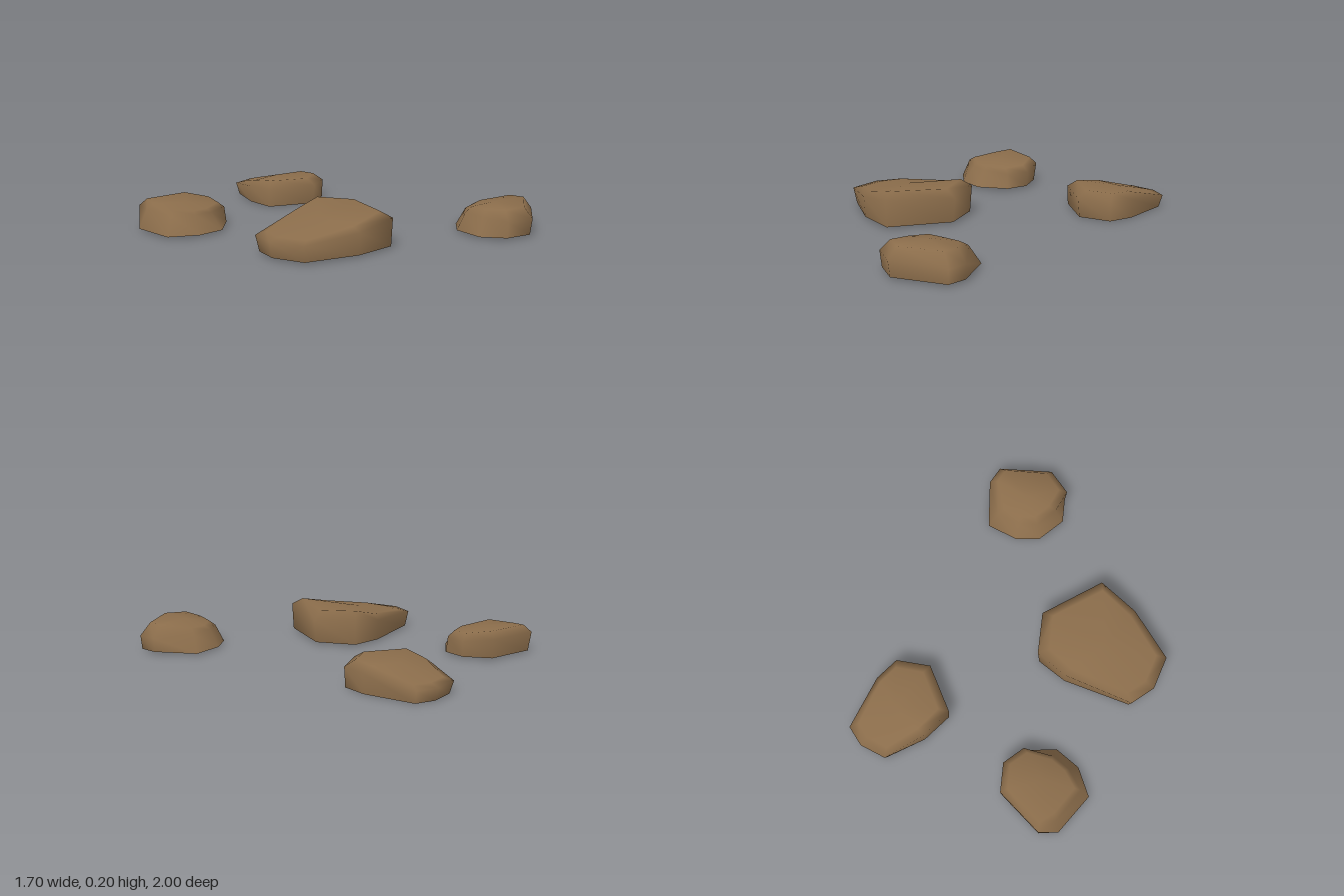
import * as THREE from 'three';

// Points run round each stone: [x, z, lean, rimY, topY].
// Positive lean tucks the foot in, negative lean tucks the rim in.
const slab = [
  [-0.74, 0.32, 0.06, 0.10, 0.11], [-0.70, 0.17, 0.06, 0.10, 0.115],
  [-0.31, 0.04, 0.03, 0.13, 0.16], [-0.12, 0.035, 0.03, 0.165, 0.20],
  [0.02, 0.24, 0.05, 0.15, 0.195], [-0.12, 0.605, 0.02, 0.165, 0.20],
  [-0.37, 0.605, 0.02, 0.13, 0.155], [-0.68, 0.51, 0.06, 0.10, 0.115],
];
const block = [
  [-0.85, -0.64, -0.17, 0.12, 0.15], [-0.78, -0.73, 0.06, 0.12, 0.16],
  [-0.48, -0.70, 0.06, 0.12, 0.16], [-0.38, -0.56, 0.05, 0.10, 0.14],
  [-0.40, -0.42, -0.05, 0.10, 0.13], [-0.54, -0.29, -0.30, 0.105, 0.125],
  [-0.70, -0.29, -0.30, 0.11, 0.125], [-0.85, -0.38, -0.20, 0.12, 0.14],
];
const wedge = [
  [0.14, -0.965, 0.08, 0.07, 0.085], [0.29, -1.0, 0.08, 0.07, 0.085],
  [0.41, -0.965, 0.08, 0.07, 0.085], [0.48, -0.66, 0.02, 0.11, 0.145],
  [0.47, -0.51, 0.02, 0.11, 0.15], [0.30, -0.41, 0.05, 0.115, 0.15],
  [0.04, -0.54, 0.02, 0.11, 0.15], [0.055, -0.73, 0.02, 0.10, 0.13],
];
const pebble = [
  [0.35, 0.82, -0.22, 0.11, 0.145], [0.38, 0.64, -0.22, 0.11, 0.14],
  [0.49, 0.545, -0.25, 0.11, 0.13], [0.67, 0.505, -0.25, 0.11, 0.135],
  [0.83, 0.70, 0.03, 0.09, 0.16], [0.845, 0.81, 0.03, 0.09, 0.16],
  [0.59, 0.995, 0.05, 0.10, 0.16], [0.43, 0.95, 0.04, 0.10, 0.155],
];

// Hollow stone: foot, rim and shoulder rings capped by a fan
function makeStone(name, points, baseY, shoulder, crownY, material) {
  const n = points.length;
  const cx = points.reduce((s, p) => s + p[0], 0) / n;
  const cz = points.reduce((s, p) => s + p[1], 0) / n;
  const foot = [], rim = [], top = [], index = [];
  const add = (ring, [x, z], k, y) => ring.push(cx + (x - cx) * k, y, cz + (z - cz) * k);
  points.forEach((p, i) => {
    const [, , lean, rimY, topY] = p;
    const rimScale = 1 + Math.min(lean, 0);
    add(foot, p, 1 - Math.max(lean, 0), baseY);
    add(rim, p, rimScale, rimY);
    add(top, p, rimScale * shoulder, topY);
    const j = (i + 1) % n;
    for (const r of [0, n]) {
      index.push(r + i, r + n + i, r + n + j, r + i, r + n + j, r + j);
    }
    index.push(3 * n, 2 * n + j, 2 * n + i);
  });
  const geometry = new THREE.BufferGeometry();
  geometry.setAttribute('position',
    new THREE.Float32BufferAttribute([...foot, ...rim, ...top, cx, crownY, cz], 3));
  geometry.setIndex(index);
  geometry.computeVertexNormals();
  const mesh = new THREE.Mesh(geometry, material);
  mesh.name = name;
  return mesh;
}

export function createModel() {
  const group = new THREE.Group();
  group.name = 'scatteredStones';
  const brown = new THREE.MeshStandardMaterial({ color: 0x8b6d4b, side: THREE.DoubleSide });
  brown.name = 'brownStone';
  group.add(
    makeStone('largeSlabStone', slab, 0.01, 0.83, 0.165, brown),
    makeStone('backBlockStone', block, 0.01, 0.83, 0.15, brown),
    makeStone('backWedgeStone', wedge, 0, 0.8, 0.14, brown),
    makeStone('frontPebbleStone', pebble, 0.01, 0.78, 0.16, brown),
  );
  return group;
}
